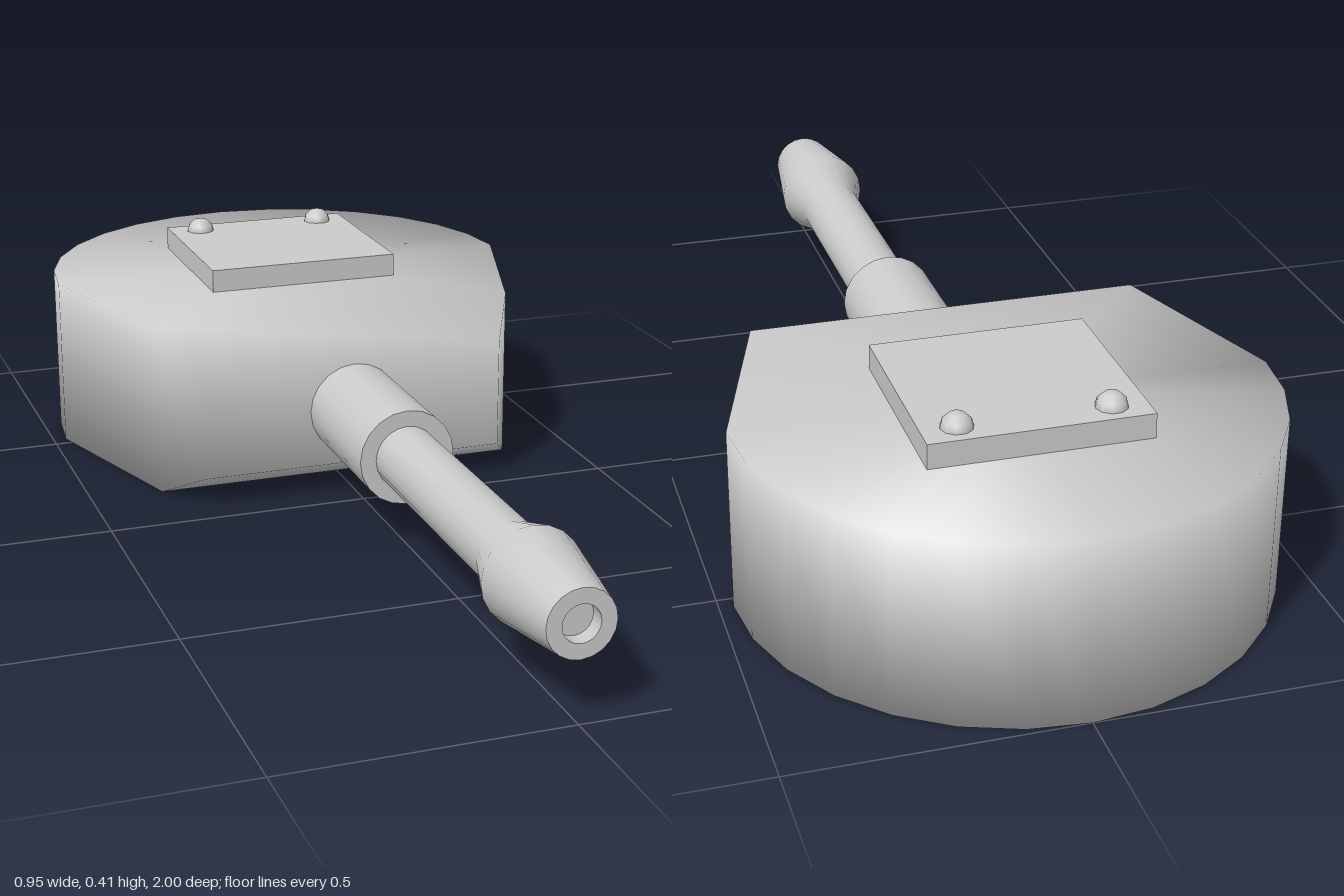
import * as THREE from 'three';

const GREY = new THREE.MeshStandardMaterial({ color: 0xcccccc });
const AXIS_Y = 0.17;

function add(parent, name, geometry, x = 0, y = 0, z = 0) {
  const mesh = new THREE.Mesh(geometry, GREY);
  mesh.name = name;
  mesh.position.set(x, y, z);
  parent.add(mesh);
  return mesh;
}

// Round-backed shell with a tapered, chamfered front, smooth-shaded throughout
function turretGeometry() {
  const height = 0.335, centreZ = -0.525, radius = 0.475, steps = 14;
  const outline = [[0.36, -0.165]];
  for (let i = 0; i <= steps; i++) {
    const a = (i / steps) * Math.PI;
    outline.push([radius * Math.cos(a), centreZ - radius * Math.sin(a)]);
  }
  outline.push([-0.36, -0.165]);

  const n = outline.length, pos = [], index = [];
  for (const y of [height, 0]) for (const [x, z] of outline) pos.push(x, y, z);
  const roof = 2 * n, floor = roof + 1;
  pos.push(0, height, centreZ, 0, 0, centreZ);
  // front plate corners: top left, bottom left, bottom right, top right
  const [tl, bl, br, tr] = [0, 1, 2, 3].map((k) => floor + 1 + k);
  pos.push(-0.3, 0.275, -0.05, -0.3, 0.06, -0.05, 0.3, 0.06, -0.05, 0.3, 0.275, -0.05);

  const quad = (a, b, c, d) => index.push(a, b, c, a, c, d);
  for (let i = 0; i < n; i++) {
    const j = (i + 1) % n;
    index.push(roof, i, j, floor, n + j, n + i);
    if (j) quad(i, n + i, n + j, j);
  }
  const last = n - 1;
  quad(tl, bl, br, tr);
  quad(last, n + last, bl, tl);
  quad(tr, br, n, 0);
  quad(last, tl, tr, 0);
  quad(bl, n + last, n, br);

  const g = new THREE.BufferGeometry();
  g.setAttribute('position', new THREE.Float32BufferAttribute(pos, 3));
  g.setIndex(index);
  g.computeVertexNormals();
  return g;
}

// Surface of revolution along z from [radius, z] pairs
function turned(profile, sides = 20) {
  const points = profile.map(([r, z]) => new THREE.Vector2(r, z));
  return new THREE.LatheGeometry(points, sides).rotateX(Math.PI / 2);
}

export function createModel() {
  const model = new THREE.Group();
  model.name = 'gunTurret';
  add(model, 'turretShell', turretGeometry());

  // Gun: sleeve, barrel, flared muzzle and shallow bore
  const gun = new THREE.Group();
  gun.name = 'gun';
  gun.position.y = AXIS_Y;
  model.add(gun);
  const sleeve = new THREE.CylinderGeometry(0.09, 0.09, 0.3, 20).rotateX(Math.PI / 2);
  add(gun, 'barrelSleeve', sleeve, 0, 0, 0.09);
  add(gun, 'barrel', turned([[0.06, 0.22], [0.06, 0.72], [0.088, 0.81], [0.06, 1]]));
  add(gun, 'muzzleRim', turned([[0.06, 1], [0.033, 1]]));
  add(gun, 'bore', turned([[0.033, 1], [0.033, 0.97]]));
  add(gun, 'boreEnd', new THREE.CircleGeometry(0.033, 20), 0, 0, 0.97);

  // Roof hatch with two domed hinge bolts
  const hatch = new THREE.Group();
  hatch.name = 'hatch';
  model.add(hatch);
  add(hatch, 'hatchPlate', new THREE.BoxGeometry(0.386, 0.055, 0.365), 0, 0.3525, -0.5475);
  for (const side of [-1, 1]) {
    add(hatch, 'hatchBolt', new THREE.SphereGeometry(0.029, 10, 6), side * 0.131, 0.378, -0.685);
  }
  return model;
}
